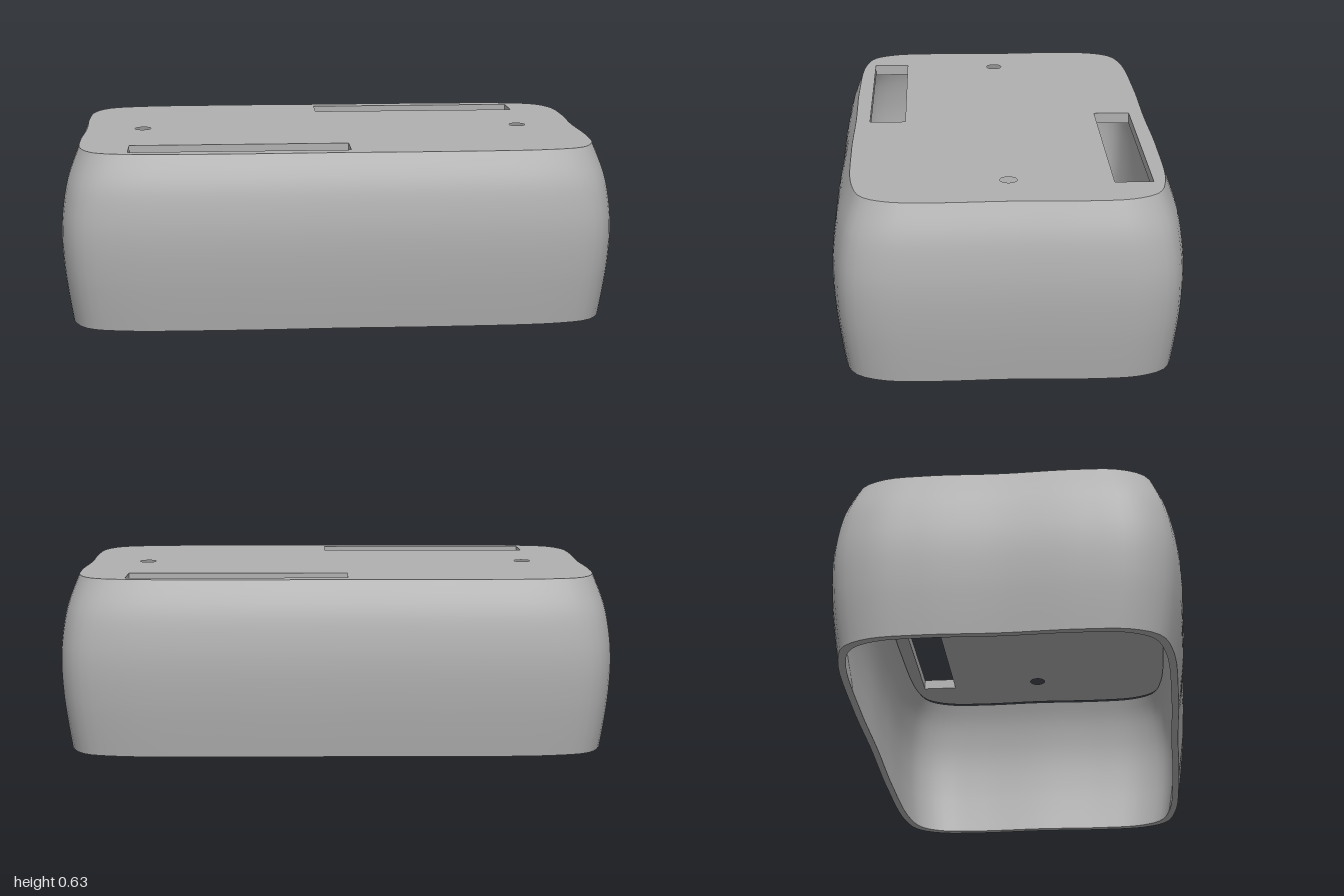
import * as THREE from 'three';

const HEIGHT = 0.63, WALL = 0.025, PLATE = 0.04, HALF_Z = 0.615;

// Widest plan outline: one quadrant mirrored into a closed, slightly wavy spline
function makeOutline() {
  const quarter = [[0.993, 0], [1, 0.28], [0.985, 0.46], [0.93, 0.556], [0.8, 0.598], [0.4, 0.615], [0, 0.612]];
  const half = [...quarter, ...quarter.slice(0, -1).reverse().map(([x, z]) => [-x, z])];
  const full = [...half, ...half.slice(1, -1).reverse().map(([x, z]) => [x, -z])];
  const curve = new THREE.CatmullRomCurve3(full.map(([x, z]) => new THREE.Vector3(x, 0, z)), true, 'centripetal');
  return curve.getSpacedPoints(160).slice(0, -1);
}
const outline = makeOutline();

// Barrel profile: how far the wall is drawn in at each height
const profile = new THREE.SplineCurve([
  [0.03, 0], [0.016, 0.1], [0.005, 0.2], [0, 0.31], [0.006, 0.41], [0.026, 0.52], [0.067, HEIGHT],
].map(([inset, y]) => new THREE.Vector2(inset, y)));

// Plan outline drawn in by an amount, at height y
function ring(inset, y) {
  return outline.map(p => new THREE.Vector3(p.x * (1 - inset), y, p.z * (1 - inset / HALF_Z)));
}

// Smooth surface through a stack of rings
function loft(rings) {
  const n = outline.length, index = [];
  for (let j = 0; j < rings.length - 1; j++) {
    for (let i = 0; i < n; i++) {
      const a = j * n + i, b = j * n + (i + 1) % n;
      index.push(a, a + n, b, b, a + n, b + n);
    }
  }
  const geometry = new THREE.BufferGeometry().setFromPoints(rings.flat());
  geometry.setIndex(index);
  geometry.computeVertexNormals();
  return geometry;
}

export function createModel() {
  const group = new THREE.Group();
  group.name = 'enclosure';
  const grey = new THREE.MeshStandardMaterial({ color: 0xb0b0b0 });
  grey.name = 'light grey';
  const add = (name, geometry) => {
    const mesh = new THREE.Mesh(geometry, grey);
    mesh.name = name;
    group.add(mesh);
  };

  // Walls and the flat rim of the open bottom
  const steps = profile.getPoints(24);
  add('outerWall', loft(steps.map(p => ring(p.x, p.y))));
  const inner = steps.filter(p => p.y < HEIGHT - PLATE / 2).map(p => ring(p.x + WALL, p.y));
  add('innerWall', loft(inner.reverse()));
  add('bottomRim', loft([ring(0.03 + WALL, 0), ring(0.03, 0)]));

  // Top plate with two slots and two screw holes
  const shape = new THREE.Shape(ring(0.067, 0).map(p => new THREE.Vector2(p.x, -p.z)));
  for (const s of [-1, 1]) {
    const slot = [[-0.04, 0.36], [0.75, 0.36], [0.75, 0.493], [-0.04, 0.493]];
    shape.holes.push(new THREE.Path(slot.map(([x, y]) => new THREE.Vector2(s * x, s * y))));
    shape.holes.push(new THREE.Path().absarc(s * 0.715, 0, 0.03, 0, Math.PI * 2, true));
  }
  const plate = new THREE.ExtrudeGeometry(shape, { depth: PLATE, bevelEnabled: false, curveSegments: 24 });
  plate.rotateX(-Math.PI / 2);
  plate.translate(0, HEIGHT - PLATE, 0);
  add('topPlate', plate);

  return group;
}
